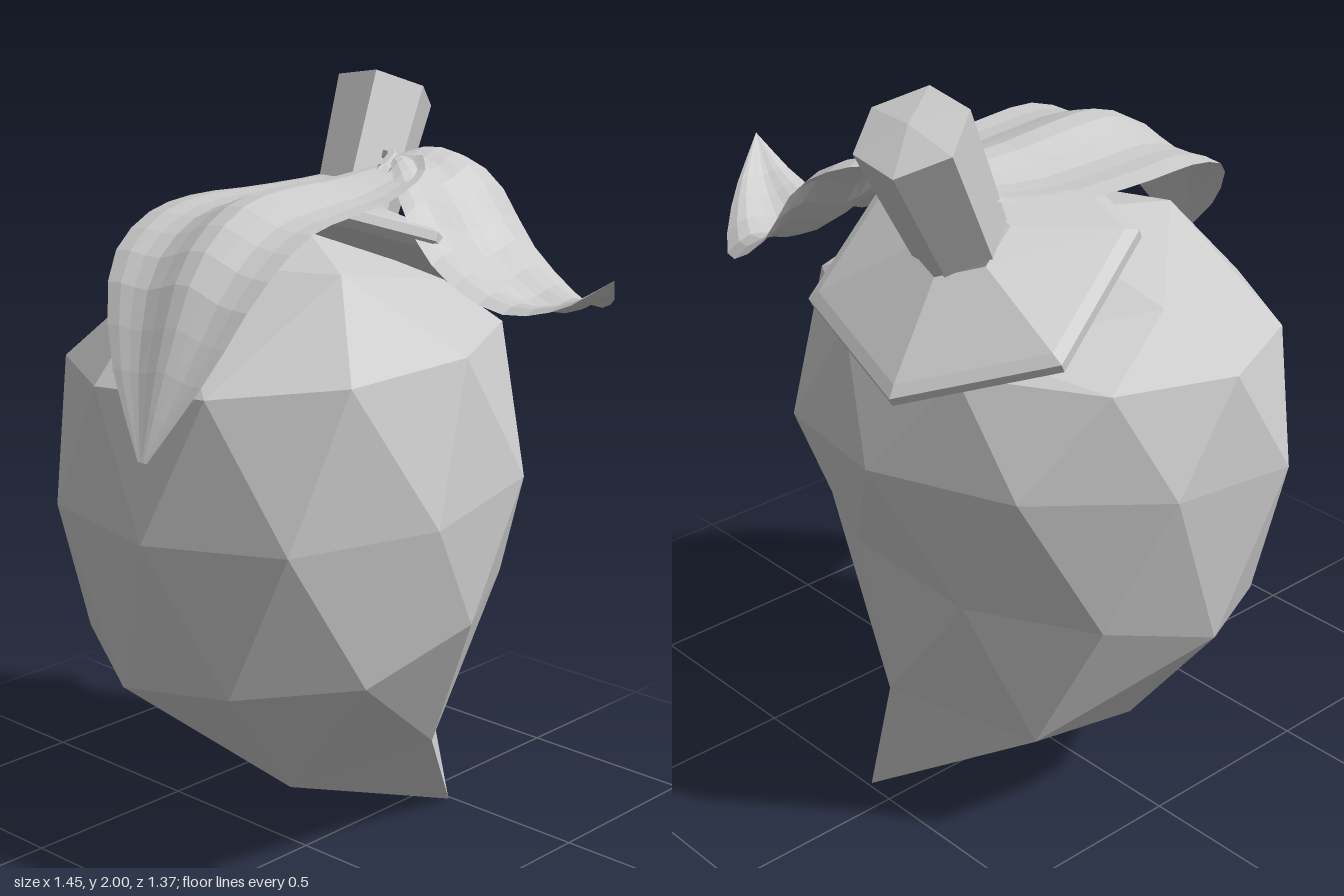
import * as THREE from 'three';

const grey = new THREE.MeshStandardMaterial({ color: 0xcccccc, flatShading: true });
const leafGrey = new THREE.MeshStandardMaterial({ color: 0xcccccc, flatShading: true, side: THREE.DoubleSide });
const vec = (p) => new THREE.Vector3(...p);

function named(name, geometry, material = grey) {
  const mesh = new THREE.Mesh(geometry, material);
  mesh.name = name;
  return mesh;
}

// Faceted fruit: staggered rings of 5, 10, 10, 10 and 5 corners between two poles
function fruitGeometry() {
  // tilt and lean slope a ring along z and x; zig lifts every second corner
  const ring = (count, phase, cx, cy, cz, rx, rz, tilt, lean = 0, zig = 0) =>
    Array.from({ length: count }, (_, i) => {
      const a = THREE.MathUtils.degToRad(phase - 12 + (i * 360) / count);
      const x = Math.sin(a) * rx, z = Math.cos(a) * rz;
      return [cx + x, cy + tilt * z + lean * x + (i % 2 === 0 ? zig : 0), cz + z];
    });
  const tip = [0.085, 0, -0.49];
  const crown = [-0.2, 1.63, -0.2];
  const a = ring(5, 36, -0.115, 0.29, -0.205, 0.35, 0.32, -0.28);
  const b = ring(10, 36, -0.11, 0.65, -0.065, 0.57, 0.51, -0.25, 0.05, 0.025);
  const c = ring(10, 54, -0.12, 1.04, -0.08, 0.62, 0.605, -0.13, -0.03);
  const d = ring(10, 36, -0.145, 1.36, -0.065, 0.57, 0.55, -0.08, 0.05);
  const e = ring(5, 72, -0.2, 1.515, -0.17, 0.39, 0.38, 0.18, 0.08);
  // fuller corners at the front right
  c[7] = [-0.71, 1.02, 0.19];
  c[8] = [-0.41, 0.98, 0.48];
  const out = [];
  const tri = (...p) => p.forEach((q) => out.push(...q));
  for (let i = 0; i < 5; i++) {
    const n = (i + 1) % 5, k = 2 * i, k1 = k + 1, k2 = (k + 2) % 10;
    // lower point
    tri(tip, a[n], a[i]);
    tri(a[i], a[n], b[k1]);
    tri(a[i], b[k1], b[k]);
    tri(a[n], b[k2], b[k1]);
    // upper shoulder
    tri(d[k], d[k1], e[i]);
    tri(d[k1], d[k2], e[i]);
    tri(d[k2], e[n], e[i]);
    tri(e[i], e[n], crown);
  }
  for (let i = 0; i < 10; i++) {
    const n = (i + 1) % 10;
    tri(b[i], b[n], c[i]);
    tri(b[n], c[n], c[i]);
    tri(c[i], d[n], d[i]);
    tri(c[i], c[n], d[n]);
  }
  const g = new THREE.BufferGeometry();
  g.setAttribute('position', new THREE.Float32BufferAttribute(out, 3));
  g.computeVertexNormals();
  return g;
}

// Rippled leaf blade stretched between two edge curves
function leafGeometry(edgeA, edgeB, ripple, rows = 16, cols = 10) {
  const A = new THREE.CatmullRomCurve3(edgeA.map(vec));
  const B = new THREE.CatmullRomCurve3(edgeB.map(vec));
  const g = new THREE.PlaneGeometry(1, 1, cols, rows);
  const pos = g.attributes.position;
  for (let i = 0; i < pos.count; i++) {
    const v = pos.getX(i) + 0.5, u = 0.5 - pos.getY(i);
    const p = A.getPoint(u).lerp(B.getPoint(u), v);
    p.y += ripple(v) * Math.sin(Math.PI * u);
    pos.setXYZ(i, p.x, p.y, p.z);
  }
  g.computeVertexNormals();
  return g;
}

export function createModel() {
  const model = new THREE.Group();
  model.name = 'fruitWithLeaves';
  model.add(named('fruit', fruitGeometry()));

  // Six-sided cap and stem share one leaning axis
  const base = vec([-0.2, 1.545, -0.365]);
  const top = vec([-0.265, 1.945, -0.59]);
  const axis = top.clone().sub(base);
  const length = axis.length();
  const stalk = new THREE.Group();
  stalk.name = 'stalk';
  stalk.position.copy(base);
  stalk.quaternion.setFromUnitVectors(new THREE.Vector3(0, 1, 0), axis.normalize());
  const hexLathe = (degrees, points) =>
    new THREE.LatheGeometry(points.map((p) => new THREE.Vector2(...p)), 6, THREE.MathUtils.degToRad(degrees));
  stalk.add(
    named('cap', hexLathe(-44, [[0, -0.04], [0.36, -0.04], [0.395, -0.025], [0.395, 0], [0.365, 0.015], [0.12, 0.1]])),
    named('stem', hexLathe(-32, [[0.115, 0], [0.115, 0.1], [0.135, length - 0.01], [0, length + 0.015]]))
  );
  model.add(stalk);

  // Large leaf drooping over the front
  model.add(named('frontLeaf', leafGeometry(
    [[-0.12, 1.79, -0.46], [-0.3, 1.73, -0.38], [-0.38, 1.71, -0.2], [-0.4, 1.71, 0], [-0.36, 1.69, 0.2],
      [-0.27, 1.61, 0.4], [-0.1, 1.43, 0.56], [0.12, 1.24, 0.68]],
    [[-0.02, 1.8, -0.46], [0.04, 1.77, -0.4], [0.11, 1.73, -0.2], [0.16, 1.72, 0], [0.2, 1.7, 0.2],
      [0.235, 1.6, 0.4], [0.22, 1.43, 0.55], [0.15, 1.24, 0.68]],
    (v) => 0.025 * Math.sin(Math.PI * v) + 0.025 * Math.sin(Math.PI * 3 * v + 2.4) * Math.sin(Math.PI * v)
  ), leafGrey));

  // Smaller leaf arching out to the left side
  model.add(named('sideLeaf', leafGeometry(
    [[-0.1, 1.79, -0.42], [-0.04, 1.78, -0.36], [0.06, 1.71, -0.28], [0.2, 1.57, -0.245], [0.4, 1.48, -0.25],
      [0.58, 1.51, -0.265], [0.725, 1.6, -0.29]],
    [[-0.13, 1.79, -0.5], [-0.06, 1.8, -0.58], [0.06, 1.74, -0.645], [0.2, 1.56, -0.66], [0.4, 1.45, -0.62],
      [0.6, 1.5, -0.46], [0.725, 1.6, -0.29]],
    (v) => 0.02 * Math.sin(Math.PI * 3 * v) + 0.015 * Math.sin(Math.PI * v)
  ), leafGrey));

  // Short stalk where the leaves meet
  const curl = new THREE.CatmullRomCurve3(
    [[-0.25, 1.74, -0.48], [-0.15, 1.785, -0.46], [-0.09, 1.79, -0.42], [-0.06, 1.77, -0.35]].map(vec));
  model.add(named('leafStalk', new THREE.TubeGeometry(curl, 8, 0.018, 6), leafGrey));

  return model;
}
